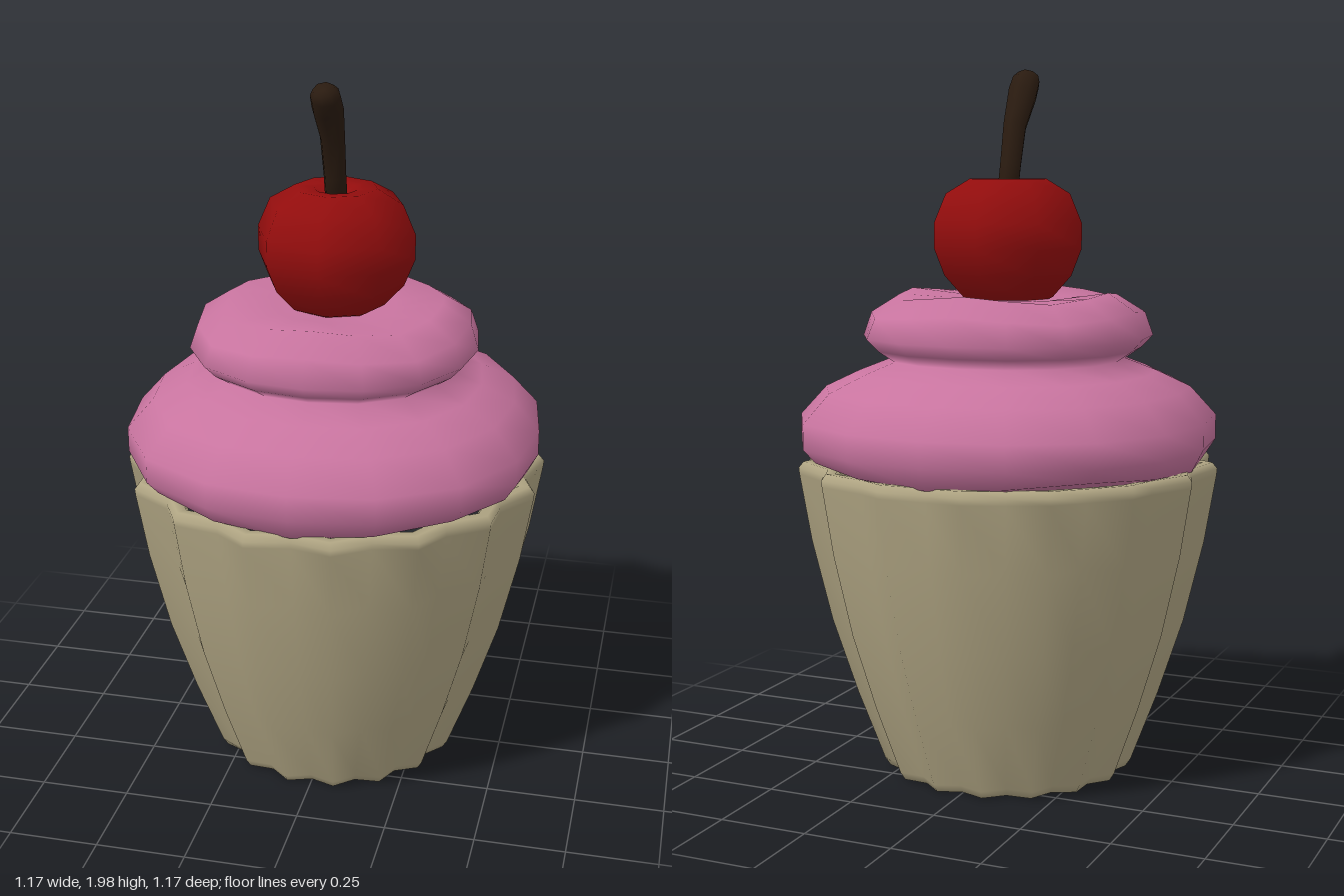
import * as THREE from 'three';
import { mergeVertices } from 'three/addons/utils/BufferGeometryUtils.js';

// Weld seams and give smooth normals
function smooth(geometry) {
  geometry.deleteAttribute('normal');
  geometry.deleteAttribute('uv');
  const welded = mergeVertices(geometry, 1e-4);
  welded.computeVertexNormals();
  return welded;
}

// Turn a [radius, y] profile; bend(angle, radius, y) returns the moved [radius, y]
function turned(profile, sides, bend = (a, r, y) => [r, y]) {
  const geometry = new THREE.LatheGeometry(profile.map(([r, y]) => new THREE.Vector2(r, y)), sides);
  const p = geometry.attributes.position;
  for (let i = 0; i < p.count; i++) {
    const a = Math.atan2(p.getX(i), p.getZ(i));
    const [r, y] = bend(a, Math.hypot(p.getX(i), p.getZ(i)), p.getY(i));
    p.setXYZ(i, r * Math.sin(a), y, r * Math.cos(a));
  }
  return smooth(geometry);
}

function addPart(group, name, geometry, color) {
  const mesh = new THREE.Mesh(geometry, new THREE.MeshStandardMaterial({ color }));
  mesh.name = name;
  group.add(mesh);
}

export function createModel() {
  const group = new THREE.Group();
  group.name = 'cupcake';

  // Paper cup: 16 flutes, closed base, rolled rim with an inner wall
  const cup = [
    [0, 0.01], [0.32, 0.01], [0.345, 0.012], [0.36, 0.035], [0.435, 0.235], [0.505, 0.45],
    [0.56, 0.68], [0.592, 0.87], [0.594, 0.888], [0.58, 0.905], [0.55, 0.903], [0.535, 0.885], [0.51, 0.78],
  ];
  addPart(group, 'paperCup', turned(cup, 32, (a, r, y) => {
    const valley = 0.5 + 0.5 * Math.cos(16 * a);
    return [r * (1 - 0.085 * valley), y - (y > 0.86 ? 0.008 * valley : 0)];
  }), 0xb0a583);

  // Frosting: two soft tiers with a gentle fourfold wave
  const frosting = [
    [0, 0.86], [0.44, 0.87], [0.555, 0.905], [0.588, 0.955], [0.588, 1.025], [0.515, 1.105],
    [0.42, 1.15], [0.33, 1.185], [0.375, 1.215], [0.408, 1.25], [0.385, 1.315], [0.305, 1.365],
    [0.17, 1.355], [0, 1.35],
  ];
  addPart(group, 'frosting', turned(frosting, 16, (a, r, y) => {
    const wave = Math.cos(4 * a);
    const lift = y < 0.92 ? -0.012 : y > 1.3 ? 0.01 : 0;
    return [r * (1 - 0.02 * wave), y + (r > 0.2 ? lift * wave : 0)];
  }), 0xc8749f);

  // Cherry: eight-sided, with a dimple around the stem
  const cherry = [
    [0, 1.32], [0.07, 1.33], [0.135, 1.36], [0.19, 1.42], [0.22, 1.495], [0.22, 1.565],
    [0.185, 1.645], [0.115, 1.685], [0.06, 1.68], [0.025, 1.655], [0, 1.65],
  ];
  addPart(group, 'cherry', turned(cherry, 8), 0x930d0d);

  // Stem: a capped cylinder bent forward; rows are [y, z, radius, tilt]
  const rows = [
    [1.64, -0.005, 0.031, 0.2], [1.72, 0.015, 0.031, 0.25], [1.83, 0.045, 0.034, 0.4],
    [1.92, 0.1, 0.043, 0.6], [1.955, 0.126, 0.041, 0.6], [1.974, 0.143, 0.03, 0.55],
  ];
  const stem = new THREE.CylinderGeometry(1, 1, rows.length - 1, 8, rows.length - 1);
  const p = stem.attributes.position;
  for (let i = 0; i < p.count; i++) {
    const [y, z, r, tilt] = rows[Math.round(p.getY(i) + (rows.length - 1) / 2)];
    const d = p.getZ(i) * r;
    p.setXYZ(i, p.getX(i) * r, y - d * Math.sin(tilt), z + d * Math.cos(tilt));
  }
  addPart(group, 'cherryStem', smooth(stem), 0x2a1b10);

  return group;
}
